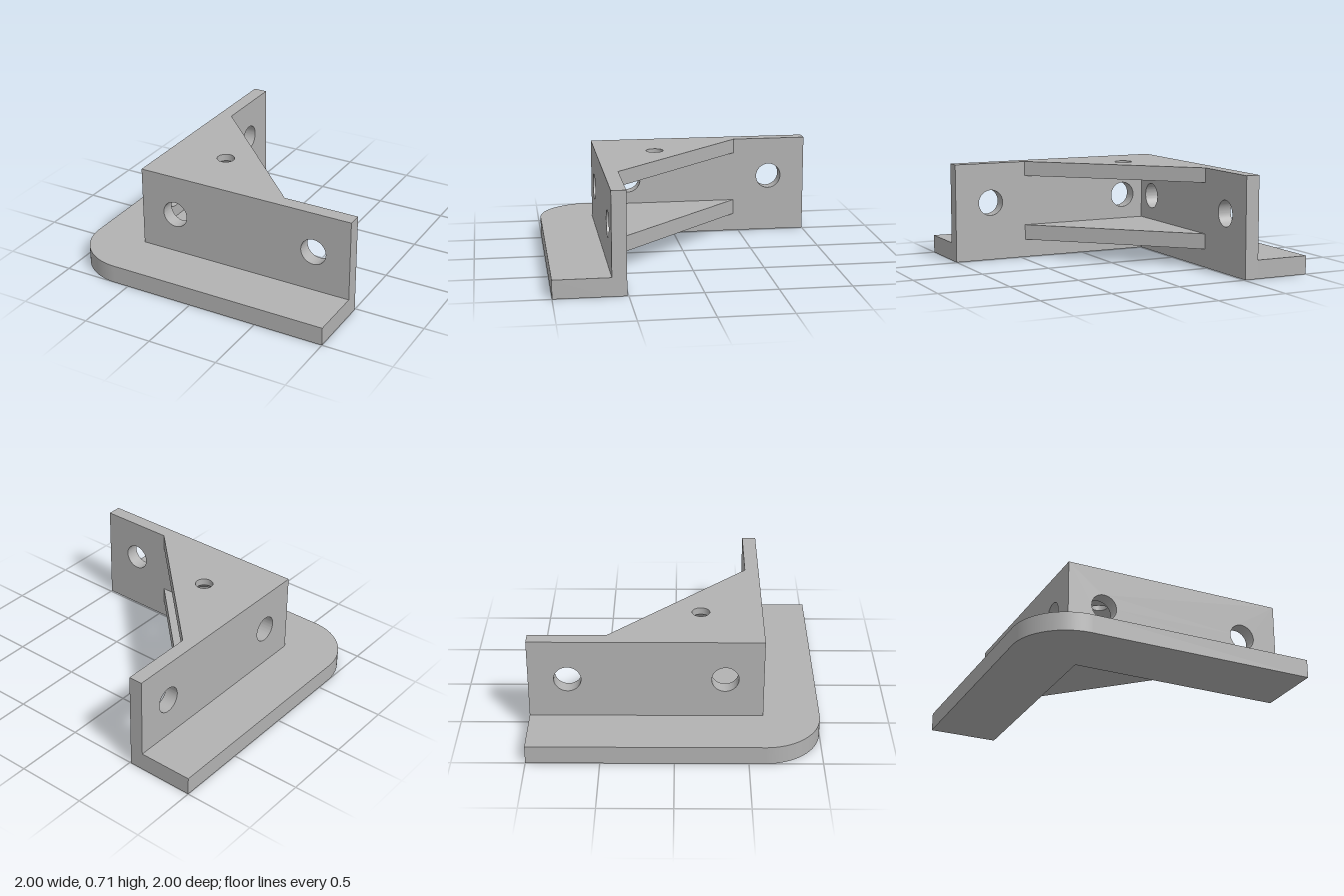
import * as THREE from 'three';
import { toCreasedNormals } from 'three/addons/utils/BufferGeometryUtils.js';

const OUTER = 0.61;   // outer face of the walls
const INNER = 0.51;   // inner face of the walls
const HEIGHT = 0.71;
const FLANGE = 0.13;  // flange thickness
const REACH = 0.46;   // where the gussets end along the walls
const RADIUS = 0.39;  // rounded flange corner
const SCREW = { x: -0.185, z: 0.18, r: 0.062, sink: 0.12 };

const gray = new THREE.MeshStandardMaterial({ color: 0xb2b2b2, side: THREE.DoubleSide });
gray.name = 'gray';

function mesh(name, geometry) {
  const m = new THREE.Mesh(geometry, gray);
  m.name = name;
  return m;
}

function polygon(points) {
  return new THREE.Shape(points.map(([x, y]) => new THREE.Vector2(x, y)));
}

function addHole(shape, x, y, r) {
  shape.holes.push(new THREE.Path().absarc(x, y, r, 0, Math.PI * 2, true));
}

function extrude(shape, depth) {
  return new THREE.ExtrudeGeometry(shape, { depth, bevelEnabled: false, curveSegments: 40 });
}

// Horizontal plate from an (x, z) outline between two heights
function plate(shape, bottom, top) {
  const g = extrude(shape, top - bottom).rotateX(Math.PI / 2).translate(0, top, 0);
  return toCreasedNormals(g, 0.5);
}

// Upright wall with two bolt holes, facing +z
function wall(start, z) {
  const s = polygon([[start, 0], [1, 0], [1, HEIGHT], [start, HEIGHT]]);
  for (const x of [-0.345, 0.73]) addHole(s, x, 0.42, 0.093);
  return toCreasedNormals(extrude(s, OUTER - INNER).translate(0, 0, z), 0.5);
}

function gussetShape(holeRadius) {
  const s = polygon([[-INNER, -REACH], [REACH, INNER], [-INNER, INNER]]);
  if (holeRadius) addHole(s, SCREW.x, SCREW.z, holeRadius);
  return s;
}

export function createModel() {
  const bracket = new THREE.Group();
  bracket.name = 'cornerBracket';

  // L-shaped flange with a rounded outer corner
  const outline = new THREE.Shape();
  outline.moveTo(-1, -1);
  outline.lineTo(-OUTER, -1);
  outline.lineTo(-OUTER, OUTER);
  outline.lineTo(1, OUTER);
  outline.lineTo(1, 1);
  outline.lineTo(-1 + RADIUS, 1);
  outline.absarc(-1 + RADIUS, 1 - RADIUS, RADIUS, Math.PI / 2, Math.PI, false);
  outline.closePath();
  bracket.add(mesh('flange', plate(outline, 0, FLANGE)));

  // Two walls meeting at the corner
  bracket.add(mesh('frontWall', wall(-OUTER, INNER)));
  bracket.add(mesh('sideWall', wall(-INNER, -OUTER).rotateY(Math.PI / 2)));

  // Solid lower gusset
  bracket.add(mesh('lowerGusset', plate(gussetShape(0), FLANGE, 0.24)));

  // Upper gusset with a screw hole countersunk from below
  const bottom = 0.605, middle = 0.66;
  const upper = new THREE.Group();
  upper.name = 'upperGusset';
  upper.add(mesh('gussetTop', plate(gussetShape(SCREW.r), middle, HEIGHT)));
  upper.add(mesh('gussetBase', plate(gussetShape(SCREW.sink), bottom, middle)));
  const cone = new THREE.CylinderGeometry(SCREW.r, SCREW.sink, middle - bottom, 80, 1, true);
  cone.translate(SCREW.x, (bottom + middle) / 2, SCREW.z);
  upper.add(mesh('countersink', cone));
  bracket.add(upper);

  return bracket;
}
